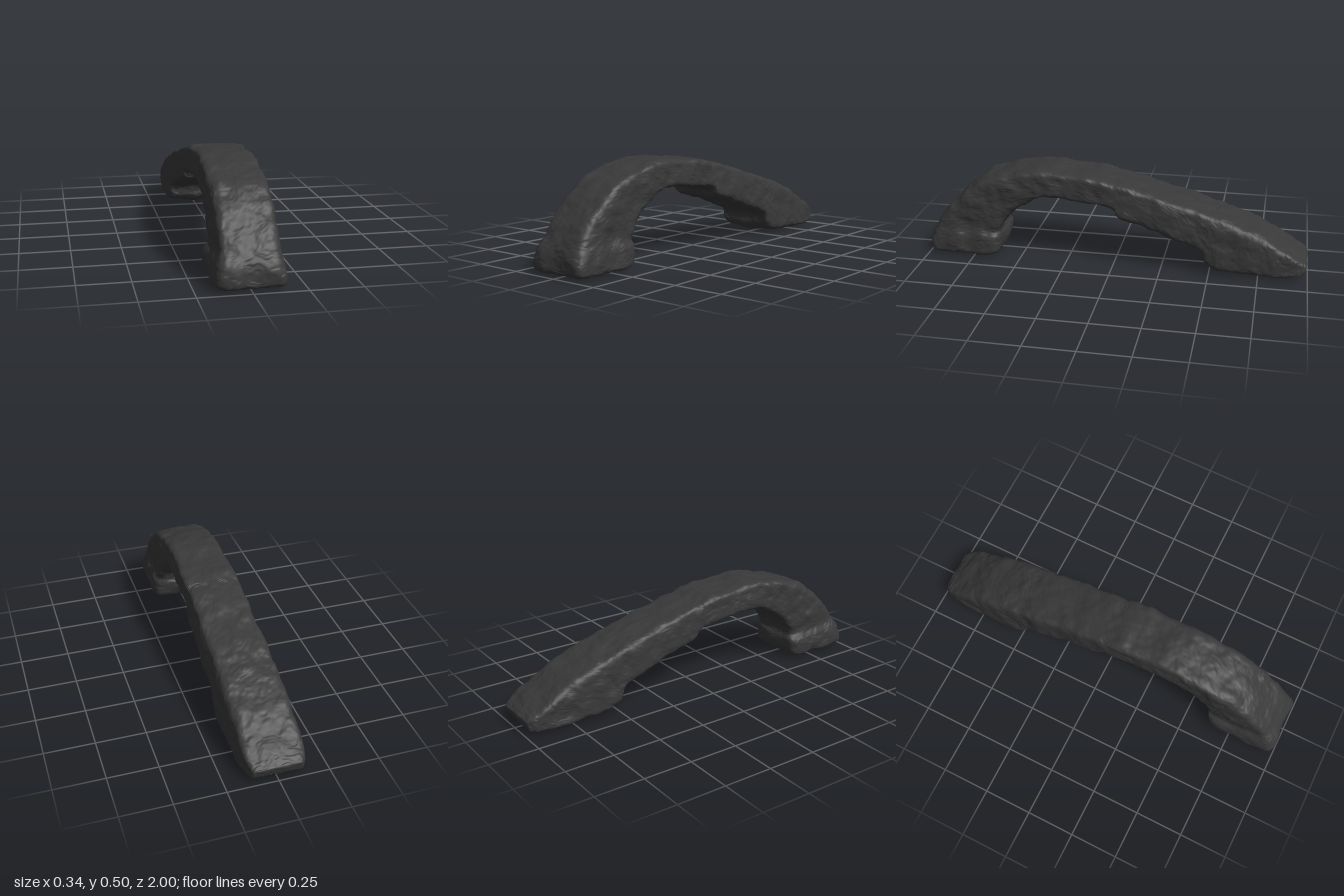
import * as THREE from 'three';

// Matching stations along the arch, front foot to back foot:
// [outer z, outer y, outer half width, inner z, inner y, inner half width]
const STATIONS = [
  [0.97, 0.016, 0.15, 0.645, 0.016, 0.15],
  [0.988, 0.03, 0.162, 0.622, 0.028, 0.162],
  [0.99, 0.07, 0.164, 0.608, 0.07, 0.164],
  [0.98, 0.115, 0.156, 0.605, 0.115, 0.16],
  [0.948, 0.17, 0.141, 0.612, 0.142, 0.143],
  [0.882, 0.265, 0.14, 0.594, 0.187, 0.143],
  [0.792, 0.355, 0.139, 0.543, 0.246, 0.143],
  [0.685, 0.425, 0.137, 0.468, 0.304, 0.142],
  [0.53, 0.47, 0.137, 0.382, 0.343, 0.142],
  [0.37, 0.496, 0.137, 0.29, 0.351, 0.142],
  [0.2, 0.484, 0.138, 0.15, 0.335, 0.144],
  [0.03, 0.464, 0.14, -0.01, 0.31, 0.146],
  [0.0, 0.459, 0.14, -0.035, 0.27, 0.148],
  [-0.15, 0.422, 0.142, -0.16, 0.23, 0.15],
  [-0.33, 0.372, 0.145, -0.32, 0.172, 0.156],
  [-0.48, 0.328, 0.147, -0.447, 0.124, 0.16],
  [-0.56, 0.301, 0.149, -0.462, 0.1, 0.161],
  [-0.64, 0.273, 0.15, -0.468, 0.06, 0.161],
  [-0.76, 0.224, 0.15, -0.53, 0.022, 0.16],
  [-0.86, 0.165, 0.149, -0.7, 0.014, 0.159],
  [-0.93, 0.122, 0.145, -0.86, 0.012, 0.154],
  [-0.97, 0.095, 0.134, -0.945, 0.014, 0.142],
  [-0.99, 0.076, 0.118, -0.977, 0.024, 0.124],
];

// Seeded lattice value noise in -1..1
function hash(x, y, z) {
  let h = Math.imul(x, 374761393) ^ Math.imul(y, 668265263) ^ Math.imul(z, 873306469);
  h = Math.imul(h ^ (h >>> 13), 1274126177);
  h = Math.imul(h ^ (h >>> 15), 2246822519);
  return ((h ^ (h >>> 16)) >>> 0) / 2147483648 - 1;
}

function noise(x, y, z) {
  const X = Math.floor(x), Y = Math.floor(y), Z = Math.floor(z);
  const fade = (t) => t * t * (3 - 2 * t);
  const u = fade(x - X), v = fade(y - Y), w = fade(z - Z);
  const mix = THREE.MathUtils.lerp;
  const row = (j, k) => mix(hash(X, Y + j, Z + k), hash(X + 1, Y + j, Z + k), u);
  return mix(mix(row(0, 0), row(1, 0), v), mix(row(0, 1), row(1, 1), v), w);
}

// Rock relief: broad lumps, chipped ledges and fine grain
function relief({ x, y, z }) {
  const lumps = noise(x * 10 + 5, y * 10, z * 10);
  const warp = noise(x * 22, y * 22 + 30, z * 22) + 0.5 * noise(x * 45, y * 45, z * 45 + 9);
  const s = (noise(x * 11 + 11, y * 13, z * 13 + 7) + 0.4 * warp) * 3;
  const ledge = Math.floor(s) + THREE.MathUtils.smoothstep(s - Math.floor(s), 0.75, 1);
  const grain = noise(x * 30, y * 30, z * 30) + 0.4 * noise(x * 60, y * 60, z * 60);
  return 0.003 * lumps + 0.0026 * (ledge + 0.4) + 0.002 * grain;
}

// Square outline with rounded corners, sampled evenly around
function outline(count) {
  const n = 7, points = [];
  for (let i = 0; i < count; i++) {
    const t = (i / count) * 4, side = Math.floor(t), f = (t - side) * 2 - 1;
    const [a, b] = [[f, -1], [1, f], [-f, 1], [-1, -f]][side];
    const k = Math.pow(Math.abs(a) ** n + Math.abs(b) ** n, 1 / n);
    points.push([a / k, b / k]);
  }
  return points;
}

function archGeometry() {
  const AROUND = 152, ALONG = 380;
  const outer = new THREE.CatmullRomCurve3(STATIONS.map((s) => new THREE.Vector3(s[2], s[1], s[0])));
  const inner = new THREE.CatmullRomCurve3(STATIONS.map((s) => new THREE.Vector3(s[5], s[4], s[3])));
  const section = outline(AROUND);
  const positions = [], indices = [];
  const o = new THREE.Vector3(), i = new THREE.Vector3(), p = new THREE.Vector3();

  const addRing = (t, scale) => {
    outer.getPoint(t, o);
    inner.getPoint(t, i);
    for (const [a, b] of section) {
      p.lerpVectors(i, o, (b * scale + 1) / 2);
      positions.push(p.x * a * scale, p.y, p.z);
    }
  };

  // Closed ends are rings shrinking to the middle of the end section
  const cap = [0.02, 0.15, 0.3, 0.45, 0.6, 0.75, 0.88, 0.96];
  cap.forEach((s) => addRing(0, s));
  for (let r = 0; r <= ALONG; r++) addRing(r / ALONG, 1);
  cap.slice().reverse().forEach((s) => addRing(1, s));

  const rings = positions.length / 3 / AROUND;
  for (let r = 0; r < rings - 1; r++) {
    for (let c = 0; c < AROUND; c++) {
      const d = (c + 1) % AROUND;
      const a = r * AROUND + c, b = r * AROUND + d;
      const e = a + AROUND, f = b + AROUND;
      indices.push(a, e, b, b, e, f);
    }
  }
  // Close the tiny hole at each end
  const last = (rings - 1) * AROUND;
  for (let c = 1; c < AROUND - 1; c++) {
    indices.push(0, c, c + 1, last, last + c + 1, last + c);
  }

  const geometry = new THREE.BufferGeometry();
  geometry.setAttribute('position', new THREE.Float32BufferAttribute(positions, 3));
  geometry.setIndex(indices);
  geometry.computeVertexNormals();

  // Roughen the surface along its normals, keeping the feet above ground
  const pos = geometry.attributes.position, nor = geometry.attributes.normal;
  const n = new THREE.Vector3();
  for (let v = 0; v < pos.count; v++) {
    p.fromBufferAttribute(pos, v);
    n.fromBufferAttribute(nor, v);
    p.addScaledVector(n, relief(p));
    pos.setXYZ(v, p.x, Math.max(p.y, 0), p.z);
  }
  geometry.computeVertexNormals();
  return geometry;
}

export function createModel() {
  const group = new THREE.Group();
  group.name = 'rockArch';
  const arch = new THREE.Mesh(archGeometry(), new THREE.MeshStandardMaterial({ color: 0x393939 }));
  arch.name = 'archStone';
  group.add(arch);
  return group;
}
